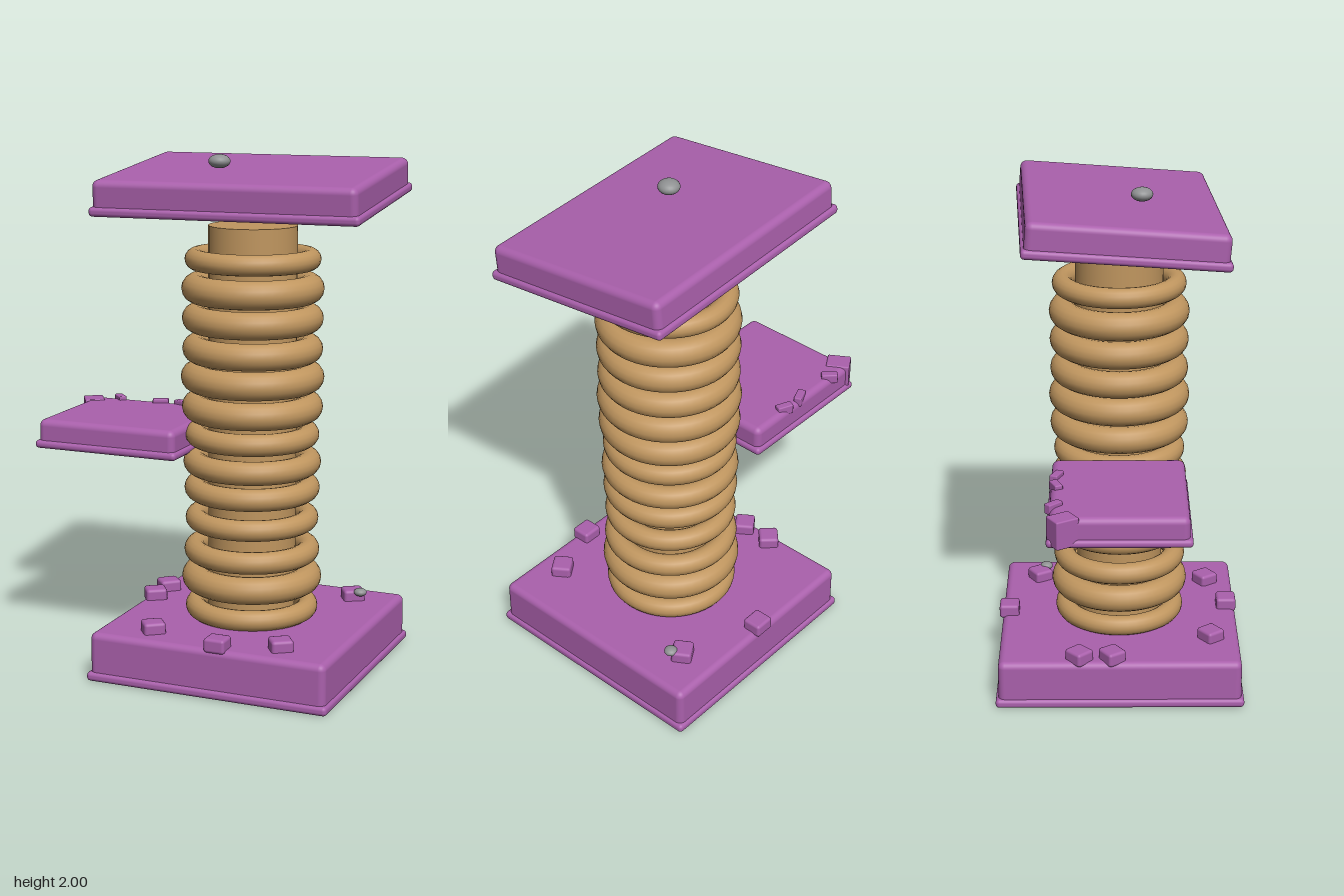
import * as THREE from 'three';
import { RoundedBoxGeometry } from 'three/addons/geometries/RoundedBoxGeometry.js';

const plush = new THREE.MeshStandardMaterial({ name: 'purple plush', color: 0xaa60ac });
const sisal = new THREE.MeshStandardMaterial({ name: 'tan sisal', color: 0xc0965f });
const metal = new THREE.MeshStandardMaterial({ name: 'grey stud', color: 0x8f9192 });

function add(parent, name, geometry, material, x, y, z, ry = 0) {
  const mesh = new THREE.Mesh(geometry, material);
  mesh.name = name;
  mesh.position.set(x, y, z);
  mesh.rotation.y = ry;
  parent.add(mesh);
  return mesh;
}

// Padded board with a piped lip around its bottom edge; origin at bottom centre
function board(name, w, h, d, lip = 0.036) {
  const group = new THREE.Group();
  group.name = name;
  add(group, name + 'Pad', new RoundedBoxGeometry(w - 0.022, h - 0.004, d - 0.022, 4, 0.026),
    plush, 0, h / 2 + 0.002, 0);
  add(group, name + 'Lip', new RoundedBoxGeometry(w, lip, d, 3, 0.015), plush, 0, lip / 2, 0);
  return group;
}

function stud(parent, name, r, x, y, z) {
  add(parent, name, new THREE.SphereGeometry(r, 24, 16), metal, x, y, z).scale.y = 0.63;
}

export function createModel() {
  const model = new THREE.Group();
  model.name = 'scratchingPost';
  const cx = 0.153;

  // Base
  const base = board('base', 0.98, 0.192, 0.98);
  base.position.x = 0.155;
  model.add(base);

  // Core post and the rope coils around it: [height, rope radius, outer radius]
  add(model, 'post', new THREE.CylinderGeometry(0.171, 0.171, 1.55, 40), sisal, cx, 0.955, 0);
  const coils = [
    [0.23, 0.04, 0.26], [0.35, 0.053, 0.274], [0.46, 0.043, 0.265], [0.587, 0.041, 0.26],
    [0.708, 0.044, 0.264], [0.812, 0.046, 0.268], [0.92, 0.043, 0.26], [1.03, 0.053, 0.273],
    [1.147, 0.055, 0.277], [1.257, 0.052, 0.271], [1.375, 0.053, 0.272], [1.49, 0.055, 0.274],
    [1.602, 0.04, 0.261],
  ];
  coils.forEach(([y, r, outer], i) => {
    const geometry = new THREE.TorusGeometry(outer - r, r, 16, 48).rotateX(Math.PI / 2);
    add(model, 'ropeCoil' + (i + 1), geometry, sisal, cx, y, 0);
  });

  // Side shelf
  const shelf = board('shelf', 0.605, 0.114, 0.535, 0.032);
  shelf.position.set(-0.362, 0.842, -0.004);
  model.add(shelf);
  add(model, 'shelfCornerTab', new RoundedBoxGeometry(0.08, 0.11, 0.095, 2, 0.006),
    plush, -0.64, 0.905, -0.21, 0.55);
  const shelfTabs = [[-0.535, -0.245, -0.8], [-0.35, -0.24, 0.4], [-0.255, -0.24, -0.4]];
  for (const [x, z, turn] of shelfTabs) {
    add(model, 'shelfTab', new RoundedBoxGeometry(0.066, 0.04, 0.032, 2, 0.005), plush, x, 0.952, z, turn);
  }

  // Tabs scattered around the base: [x, z, turn]
  const baseTabs = [
    [0.14, -0.452, 0], [0.195, 0.442, 0], [-0.105, 0.365, 0.65], [0.42, 0.365, 0.6],
    [-0.28, -0.03, 0.6], [-0.28, -0.16, 0.75], [0.46, -0.335, 0.55],
  ];
  for (const [x, z, turn] of baseTabs) {
    add(model, 'baseTab', new RoundedBoxGeometry(0.085, 0.056, 0.08, 2, 0.012), plush, x, 0.207, z, turn);
  }
  stud(model, 'baseStud', 0.026, 0.5, 0.23, -0.31);

  // Tilted top platform with its stud
  const top = board('topPlatform', 1.04, 0.135, 0.768, 0.036);
  top.position.set(0.155, 1.809, -0.005);
  top.rotation.set(0.083, 0.058, 0, 'YXZ');
  model.add(top);
  stud(model, 'topStud', 0.042, 0.05, 1.973, 0.085);

  return model;
}
